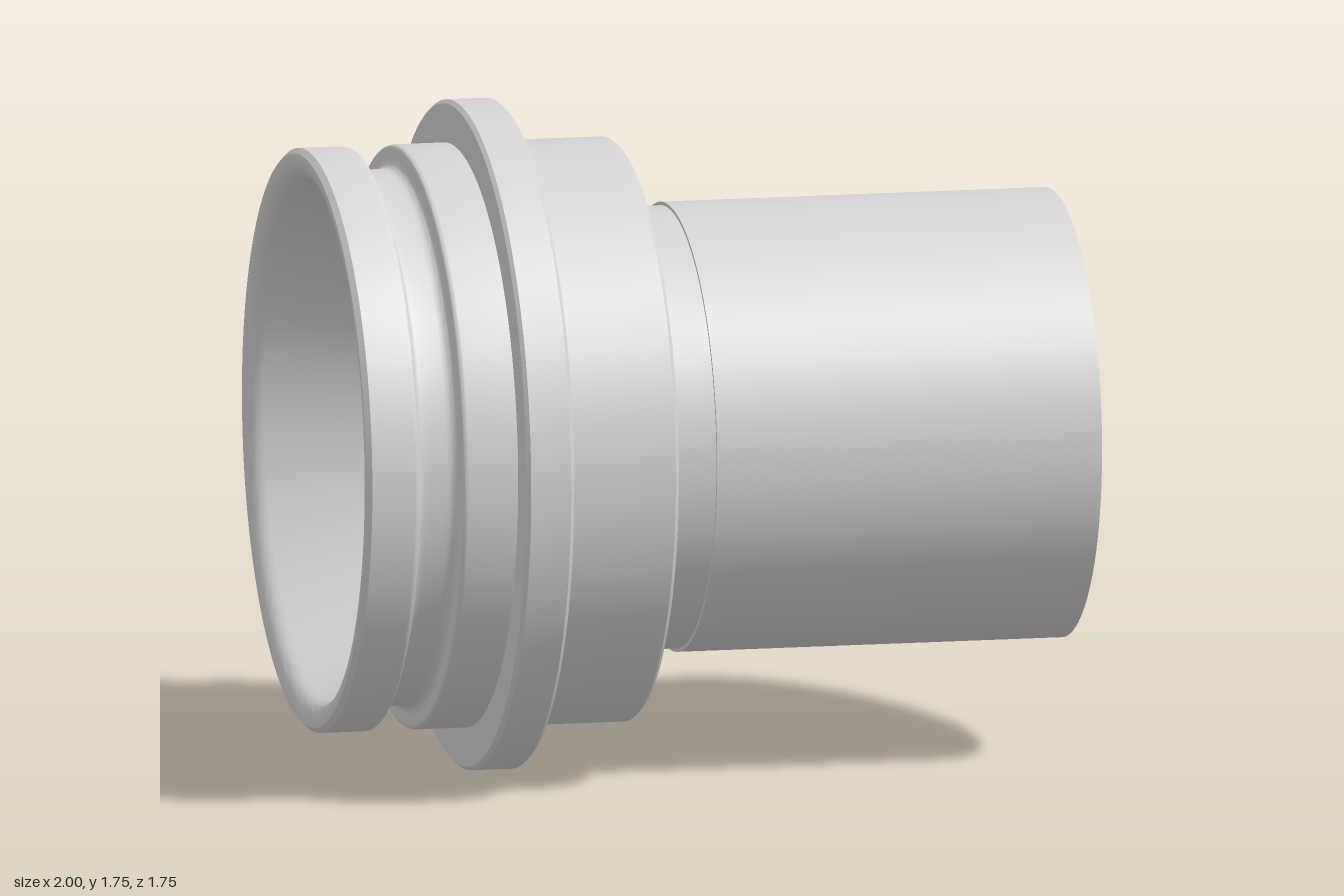
import * as THREE from 'three';
import { toCreasedNormals } from 'three/addons/utils/BufferGeometryUtils.js';

const AXIS_Y = 0.875;

// Corner points are [axial, radius, size, steps]: one step cuts a chamfer, more round the corner.
function turnedProfile(corners) {
  const pts = [];
  corners.forEach(([a, r, size = 0, steps = 1], i) => {
    const p = new THREE.Vector2(r, a);
    if (!size) {
      pts.push(p);
      return;
    }
    const toward = ([a2, r2]) =>
      new THREE.Vector2(r2, a2).sub(p).normalize().multiplyScalar(size).add(p);
    const curve = new THREE.QuadraticBezierCurve(toward(corners[i - 1]), p, toward(corners[i + 1]));
    pts.push(...curve.getPoints(steps));
  });
  return pts;
}

// Turned part lying along the x axis
function turned(name, corners, material) {
  const lathe = new THREE.LatheGeometry(turnedProfile(corners), 128);
  const mesh = new THREE.Mesh(toCreasedNormals(lathe, 0.4), material);
  mesh.name = name;
  mesh.rotation.z = -Math.PI / 2;
  mesh.position.y = AXIS_Y;
  return mesh;
}

export function createModel() {
  const group = new THREE.Group();
  group.name = 'pipeFitting';
  const metal = new THREE.MeshStandardMaterial({ color: 0xd4d4d4, side: THREE.DoubleSide });
  metal.name = 'light grey metal';

  // Stepped head with seal groove and raised flange
  group.add(turned('flangedHead', [
    [-1, 0.742], [-1, 0.763, 0.014],
    [-0.857, 0.763, 0.015, 6], [-0.857, 0.7, 0.03, 6],
    [-0.743, 0.7, 0.03, 6], [-0.743, 0.763, 0.015, 6],
    [-0.597, 0.763], [-0.597, 0.875, 0.01],
    [-0.47, 0.875, 0.01], [-0.47, 0.763],
    [-0.166, 0.763, 0.01], [-0.166, 0.578],
  ], metal));

  // Neck and outer sleeve
  group.add(turned('neck', [[-0.166, 0.578], [-0.027, 0.578], [-0.027, 0.587]], metal));
  group.add(turned('outerSleeve', [[-0.027, 0.587], [1, 0.587], [1, 0.55]], metal));

  // Tapered ring-shaped recess between the two sleeves
  group.add(turned('annularRecess', [
    [1, 0.55], [0.8, 0.5], [0.8, 0.445], [1, 0.408],
  ], metal));

  // Inner sleeve end, straight bore and flared mouth with a rounded lip
  group.add(turned('innerBore', [
    [1, 0.408], [1, 0.366], [-0.05, 0.366, 0.08, 6], [-1, 0.695, 0.047, 8], [-1, 0.742],
  ], metal));

  return group;
}
